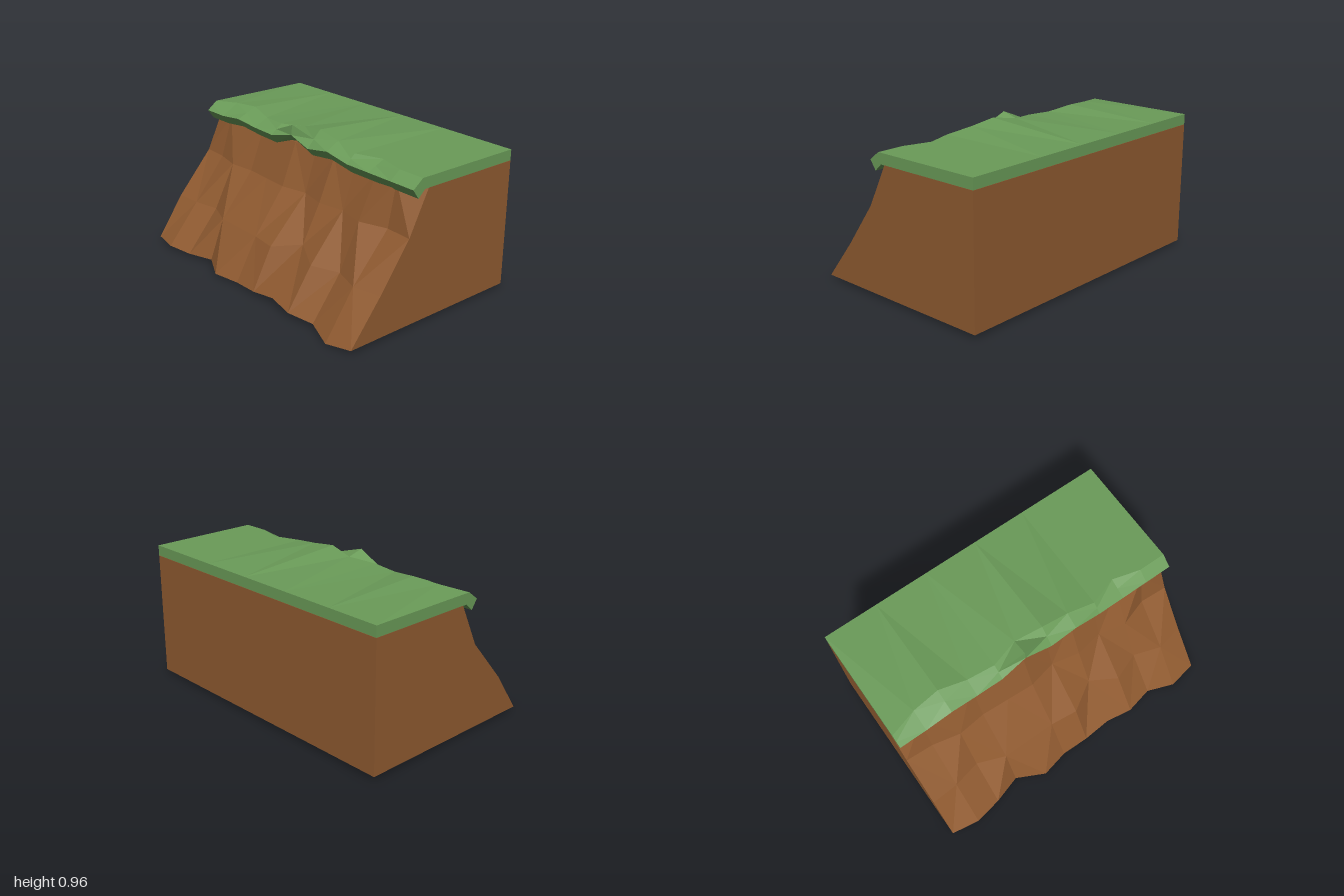
import * as THREE from 'three';

const BACK = -0.65;
const COLUMNS = 12;

// Faceted solid lofted along x from closed [z, y] rings (top back, front, bottom back).
function loft(rings) {
  const pos = [];
  const n = rings[0].length;
  const last = rings.length - 1;
  const x = (i) => -1 + (2 * i) / last;
  const put = (i, j) => pos.push(x(i), rings[i][j % n][1], rings[i][j % n][0]);
  for (let i = 0; i < last; i++) {
    for (let j = 0; j < n; j++) {
      const a = [i, j], b = [i + 1, j], c = [i + 1, j + 1], d = [i, j + 1];
      // alternate the diagonals for a chipped, rocky look
      const flip = (i + j + (i > 8 ? 1 : 0)) % 2 === 1;
      const corners = flip ? [a, d, b, d, c, b] : [a, d, c, a, c, b];
      corners.forEach((p) => put(...p));
    }
  }
  // end caps
  for (const i of [0, last]) {
    const outline = rings[i].map(([z, y]) => new THREE.Vector2(z, y));
    for (const t of THREE.ShapeUtils.triangulateShape(outline, [])) {
      const [p, q, r] = t.map((k) => outline[k]);
      const area = (q.x - p.x) * (r.y - p.y) - (q.y - p.y) * (r.x - p.x);
      const facesRight = area < 0;
      const tri = facesRight === (i === last) ? t : [t[0], t[2], t[1]];
      tri.forEach((k) => put(i, k));
    }
  }
  const g = new THREE.BufferGeometry();
  g.setAttribute('position', new THREE.Float32BufferAttribute(pos, 3));
  g.computeVertexNormals();
  return g;
}

// Cliff face: depth of each row per column, left to right
const topZ = [0.05, 0.1, 0.1, 0.1, 0.11, 0.12, 0.1, 0.11, 0.1, 0.1, 0.12, 0.05];
const midZ = [0.18, 0.19, 0.23, 0.21, 0.22, 0.23, 0.19, 0.23, 0.2, 0.24, 0.18, 0.19];
const lowZ = [0.43, 0.42, 0.38, 0.45, 0.45, 0.45, 0.47, 0.36, 0.45, 0.38, 0.44, 0.4];
const footZ = [0.615, 0.645, 0.61, 0.555, 0.645, 0.605, 0.61, 0.6, 0.625, 0.585, 0.645, 0.615];
const footY = [0.025, 0.025, 0.02, 0.025, 0.02, 0.015, 0.025, 0.05, 0.035, 0.025, 0, 0.025];

// Turf: brow is the upper front edge, lip the overhang, hem its lower edge
const browZ = [0.1, 0.05, 0.03, 0.07, 0.09, 0.04, 0.07, 0.08, 0.11, 0.05, 0.1, 0.1];
const browY = [0.915, 0.93, 0.94, 0.915, 0.92, 0.935, 0.965, 0.94, 0.915, 0.915, 0.915, 0.915];
const lipY = [0.86, 0.86, 0.88, 0.865, 0.86, 0.9, 0.86, 0.89, 0.86, 0.86, 0.86, 0.86];
const hemY = [0.8, 0.8, 0.82, 0.805, 0.8, 0.875, 0.81, 0.83, 0.8, 0.8, 0.8, 0.8];
const NOTCH = 5; // column where the turf is kicked up

export function createModel() {
  const soil = new THREE.MeshStandardMaterial({ color: 0x8f5a30 });
  soil.name = 'soil brown';
  const green = new THREE.MeshStandardMaterial({ color: 0x6a9b58 });
  green.name = 'grass green';

  const soilRings = [];
  const turfRings = [];
  for (let i = 0; i < COLUMNS; i++) {
    soilRings.push([
      [BACK, 0.845],
      [topZ[i], 0.847],
      [midZ[i], 0.575],
      [lowZ[i], i === 7 ? 0.335 : 0.29],
      [footZ[i], footY[i]],
      [BACK, 0.025],
    ]);
    const lipZ = i === NOTCH ? 0.155 : 0.172;
    const crest = i === NOTCH
      ? [0.145, 0.965]
      : [(browZ[i] + lipZ) / 2, (browY[i] + lipY[i]) / 2];
    turfRings.push([
      [BACK, 0.915],
      [browZ[i], browY[i]],
      crest,
      [lipZ, lipY[i]],
      [0.13, hemY[i]],
      [0.08, 0.846],
      [BACK, 0.846],
    ]);
  }

  const model = new THREE.Group();
  model.name = 'cliffBlock';
  const cliff = new THREE.Mesh(loft(soilRings), soil);
  cliff.name = 'cliffSoil';
  const turf = new THREE.Mesh(loft(turfRings), green);
  turf.name = 'grassTop';
  model.add(cliff, turf);
  return model;
}
